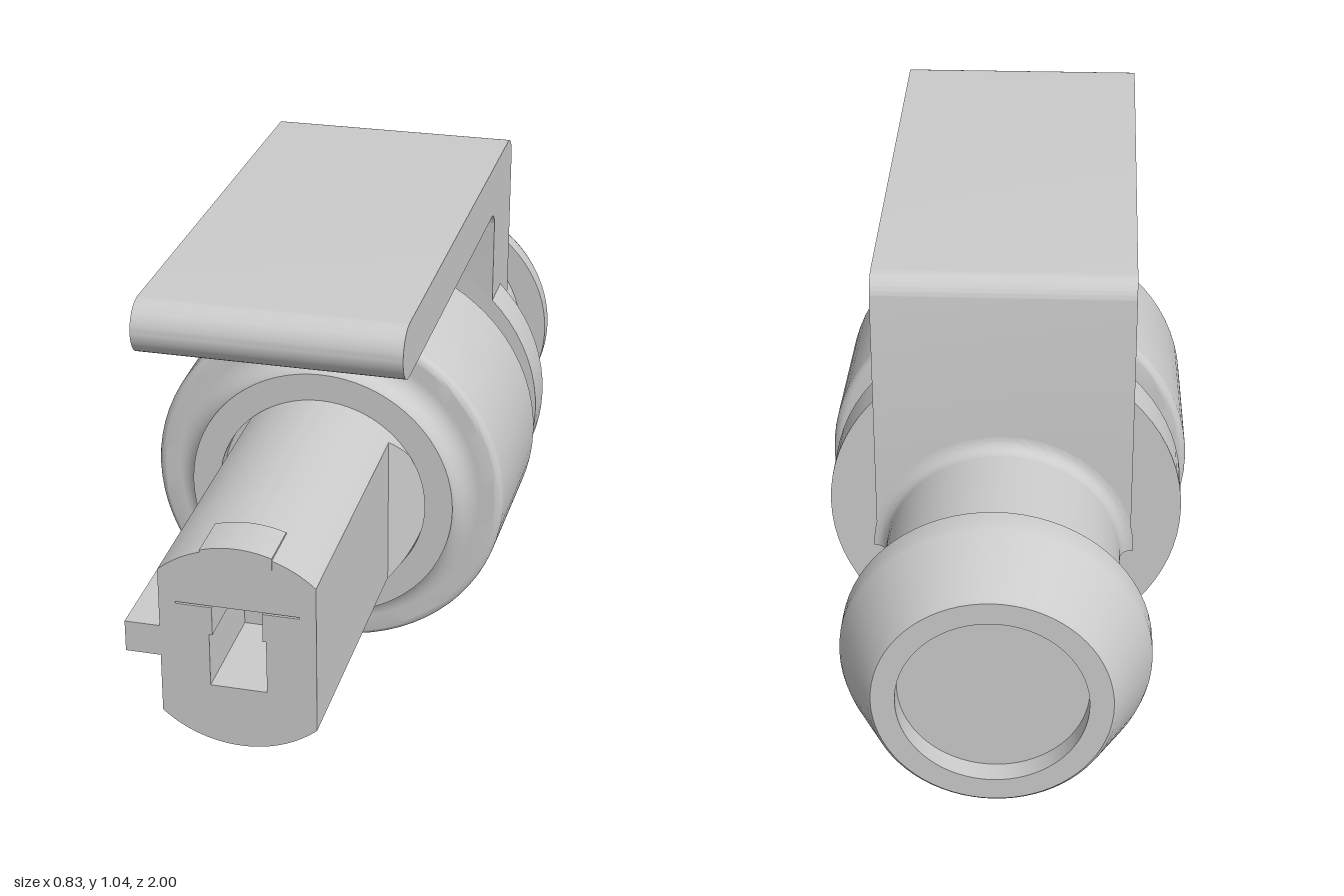
import * as THREE from 'three';
import { toCreasedNormals } from 'three/addons/utils/BufferGeometryUtils.js';

const material = new THREE.MeshStandardMaterial({ color: 0xcccccc, side: THREE.DoubleSide });
const AXIS = 0.42;        // height of the seal and front plug
const BARREL_AXIS = 0.375; // height of the rear barrel

export function createModel() {
  const group = new THREE.Group();

  function add(name, geometry, x = 0, y = 0, z = 0) {
    const mesh = new THREE.Mesh(toCreasedNormals(geometry, 0.5), material);
    mesh.name = name;
    mesh.position.set(x, y, z);
    group.add(mesh);
  }

  // Turned part along z: profile is [radius, z] from back to front
  function turned(name, profile, y, start = 0, sweep = Math.PI * 2) {
    const points = profile.map(([r, z]) => new THREE.Vector2(r, z));
    add(name, new THREE.LatheGeometry(points, 72, start, sweep).rotateX(Math.PI / 2), 0, y);
  }

  // Points on a profile arc, angles in degrees
  function arc(r, z, radius, from, to, steps = 6) {
    return Array.from({ length: steps + 1 }, (_, i) => {
      const a = THREE.MathUtils.degToRad(from + (to - from) * i / steps);
      return [r + radius * Math.sin(a), z + radius * Math.cos(a)];
    });
  }

  // Seal body with hollow fillets towards both end flanges and a recess for the plug
  turned('seal', [
    [0, -0.19], [0.31, -0.19],
    ...arc(0.36, -0.175, 0.05, 270, 360),
    ...arc(0.395, -0.108, 0.02, 180, 90),
    ...arc(0.388, 0.248, 0.02, 90, 0),
    ...arc(0.355, 0.315, 0.05, 180, 270),
    [0.305, 0.325], [0.241, 0.325], [0.241, 0.285], [0, 0.285],
  ], AXIS);
  turned('sealBackRing', [[0, -0.23], [0.337, -0.23], [0.337, -0.188], [0, -0.188]], AXIS);
  turned('collar', [[0, -0.33], [0.4, -0.33], [0.4, -0.225], [0, -0.225]], AXIS);

  // Rear barrel with tapered barb and recessed end
  turned('rearBarrel', [
    [0, -0.95], [0.2, -0.95], [0.2, -1], [0.25, -1], [0.258, -0.992],
    [0.325, -0.85], [0.33, -0.835], [0.33, -0.79], [0.262, -0.79], [0.262, -0.25], [0, -0.25],
  ], BARREL_AXIS);
  turned('barrelFillet', arc(0.292, -0.465, 0.03, 270, 360), BARREL_AXIS, Math.PI / 2, Math.PI);

  // Clip: bent side profile (z, y) extruded across the width
  const clip = new THREE.Shape();
  clip.moveTo(-0.33, 0.375);
  clip.lineTo(-0.33, 0.6);
  clip.lineTo(-0.225, 0.6);
  clip.lineTo(-0.225, 0.895);
  clip.absarc(-0.19, 0.895, 0.035, Math.PI, Math.PI / 2, true);
  clip.lineTo(0.705, 0.93);
  clip.absarc(0.705, 0.99, 0.06, -Math.PI / 2, Math.PI / 2, false);
  clip.lineTo(-0.385, 1.05);
  clip.absarc(-0.385, 1.0, 0.05, Math.PI / 2, Math.PI, false);
  clip.lineTo(-0.435, 0.375);
  add('clip', new THREE.ExtrudeGeometry(clip, { depth: 0.57, bevelEnabled: false, curveSegments: 12 })
    .translate(0, 0, -0.285).rotateY(-Math.PI / 2));

  // Front plug: circle cut flat on both sides, with a stepped pocket and thin slot
  const R = 0.24, FLAT = 0.165, a = Math.acos(FLAT / R);
  const outline = () => {
    const s = new THREE.Shape();
    s.absarc(0, 0, R, a, Math.PI - a, false);
    s.absarc(0, 0, R, Math.PI + a, 2 * Math.PI - a, false);
    s.closePath();
    return s;
  };
  const pocketed = outline();
  pocketed.holes.push(new THREE.Path([
    [-0.06, -0.095], [0.06, -0.095], [0.06, 0.03], [0.053, 0.03], [0.053, 0.097], [0.13, 0.097],
    [0.13, 0.101], [-0.13, 0.101], [-0.13, 0.097], [-0.053, 0.097], [-0.053, 0.03], [-0.06, 0.03],
  ].map(([x, y]) => new THREE.Vector2(x, y))));

  // Slight taper in height towards the front
  function tapered(name, shape, back, front) {
    const geometry = new THREE.ExtrudeGeometry(shape, { depth: front - back, bevelEnabled: false, curveSegments: 20 });
    geometry.translate(0, 0, back);
    const p = geometry.attributes.position;
    for (let i = 0; i < p.count; i++) p.setY(i, p.getY(i) * (1 - 0.055 * (p.getZ(i) - 0.32)));
    add(name, geometry, 0, AXIS);
  }
  tapered('plugBase', outline(), 0.28, 0.75);
  tapered('plugFront', pocketed, 0.75, 1);

  // Sloped shoulder running from the right flat into the seal recess
  const shoulder = new THREE.Shape();
  shoulder.absarc(0, 0, R, -a, a, false);
  shoulder.closePath();
  const wedge = new THREE.ExtrudeGeometry(shoulder, { depth: 0.09, bevelEnabled: false, curveSegments: 16 });
  wedge.translate(0, 0, 0.27);
  const w = wedge.attributes.position;
  for (let i = 0; i < w.count; i++) {
    if (w.getZ(i) > 0.3) w.setZ(i, 0.362 - (w.getX(i) - FLAT));
  }
  add('plugShoulder', wedge, 0, AXIS);

  // Side rail and curved top key
  add('sideRail', new THREE.BoxGeometry(0.08, 0.07, 0.72), -0.2, AXIS, 0.64);
  const key = new THREE.Shape();
  const keyRadius = 0.237, k = Math.asin(0.075 / keyRadius);
  key.absarc(0, 0, keyRadius, Math.PI / 2 - k, Math.PI / 2 + k, false);
  key.lineTo(-0.075, 0.185);
  key.lineTo(0.075, 0.185);
  add('topKey', new THREE.ExtrudeGeometry(key, { depth: 0.11, bevelEnabled: false }), 0, AXIS, 0.891);

  return group;
}
